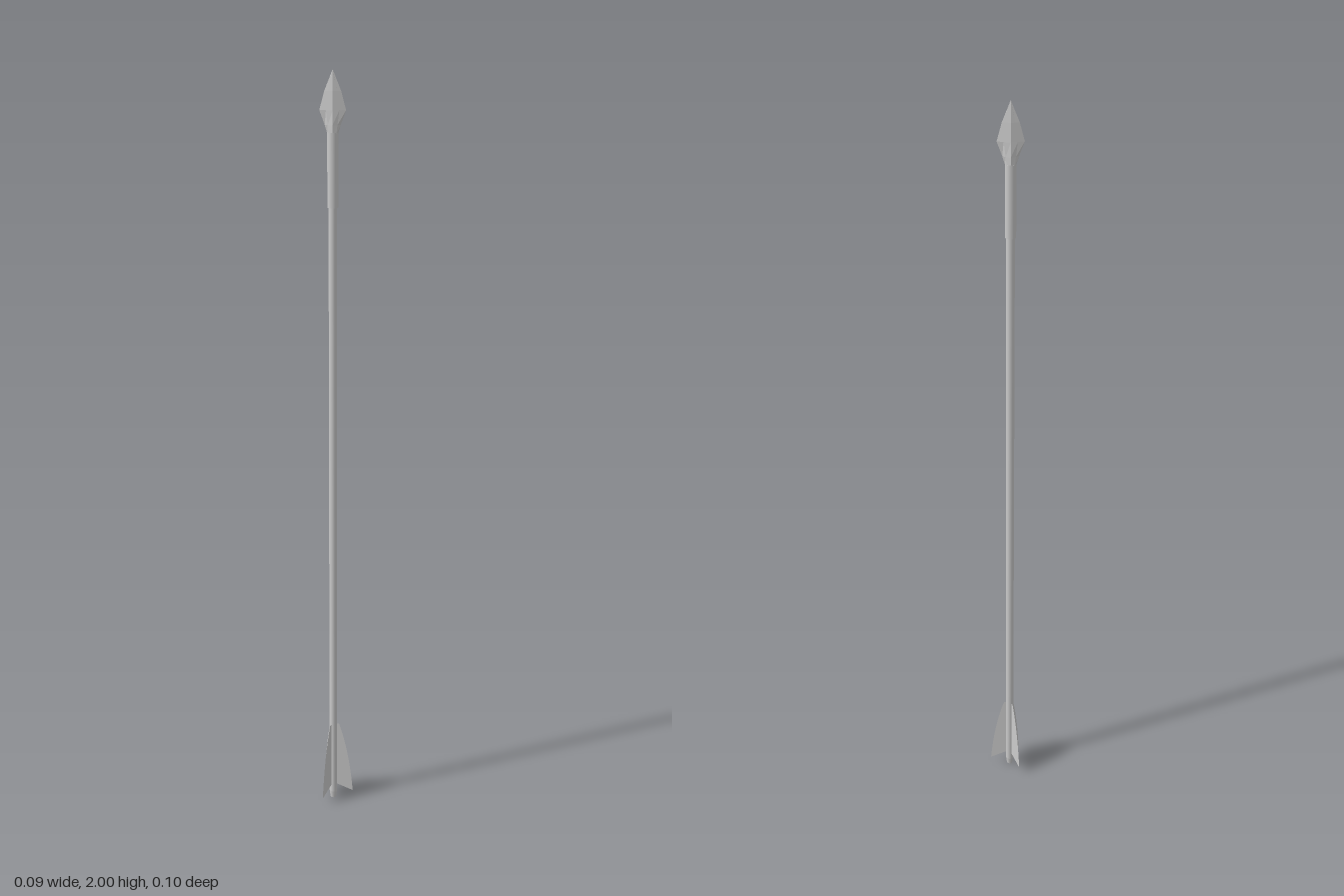
import * as THREE from 'three';

const AXIS_X = -0.0115;

function material(extra = {}) {
  return new THREE.MeshStandardMaterial({ color: 0xcccccc, ...extra });
}

function addMesh(parent, name, geometry, mat) {
  const mesh = new THREE.Mesh(geometry, mat);
  mesh.name = name;
  parent.add(mesh);
  return mesh;
}

function addRod(parent, name, rTop, rBottom, y0, y1, mat) {
  const geo = new THREE.CylinderGeometry(rTop, rBottom, y1 - y0, 12);
  addMesh(parent, name, geo, mat).position.y = (y0 + y1) / 2;
}

// Skin through cross-sections that run from round (socket) to diamond (blade)
function headGeometry() {
  const sides = 8;
  const sections = [ // y, half width, half depth, roundness
    [1.85, 0.0135, 0.0135, 1],
    [1.87, 0.0195, 0.0125, 0.5],
    [1.905, 0.0325, 0.0095, 0],
    [1.95, 0.0205, 0.006, 0],
    [2.0, 0.0004, 0.0004, 0],
  ];
  const positions = [], indices = [];
  for (const [y, w, d, round] of sections) {
    for (let j = 0; j < sides; j++) {
      const a = (j / sides) * Math.PI * 2;
      const c = Math.cos(a), s = Math.sin(a);
      const k = THREE.MathUtils.lerp(1 / (Math.abs(c) + Math.abs(s)), 1, round);
      positions.push(c * w * k, y, s * d * k);
    }
  }
  for (let i = 0; i < sections.length - 1; i++) {
    for (let j = 0; j < sides; j++) {
      const a = i * sides + j, b = i * sides + ((j + 1) % sides);
      indices.push(a, a + sides, b, b, a + sides, b + sides);
    }
  }
  const geo = new THREE.BufferGeometry();
  geo.setAttribute('position', new THREE.Float32BufferAttribute(positions, 3));
  geo.setIndex(indices);
  geo.computeVertexNormals();
  return geo;
}

// Thin vane with a bowed outer edge and a swept-back lower corner
function vaneGeometry() {
  const shape = new THREE.Shape();
  shape.moveTo(0.008, 0.042);
  shape.lineTo(0.055, 0.02);
  shape.quadraticCurveTo(0.044, 0.15, 0.016, 0.232);
  shape.lineTo(0.008, 0.232);
  shape.closePath();
  return new THREE.ShapeGeometry(shape, 8);
}

export function createModel() {
  const arrow = new THREE.Group();
  arrow.name = 'arrow';
  arrow.position.x = AXIS_X;

  const smooth = material();
  addRod(arrow, 'shaft', 0.0105, 0.0105, 0.02, 1.69, smooth);
  addRod(arrow, 'nock', 0.0105, 0.008, 0, 0.02, smooth);
  addRod(arrow, 'socket', 0.0135, 0.0135, 1.67, 1.852, smooth);
  addMesh(arrow, 'arrowhead', headGeometry(), material({ flatShading: true }));

  // Three vanes spaced evenly round the shaft
  const fletching = new THREE.Group();
  fletching.name = 'fletching';
  const vane = vaneGeometry();
  const vaneMaterial = material({ side: THREE.DoubleSide });
  for (let i = 0; i < 3; i++) {
    addMesh(fletching, 'vane' + (i + 1), vane, vaneMaterial).rotation.y = (i * Math.PI * 2) / 3;
  }
  arrow.add(fletching);

  const model = new THREE.Group();
  model.name = 'model';
  model.add(arrow);
  return model;
}
